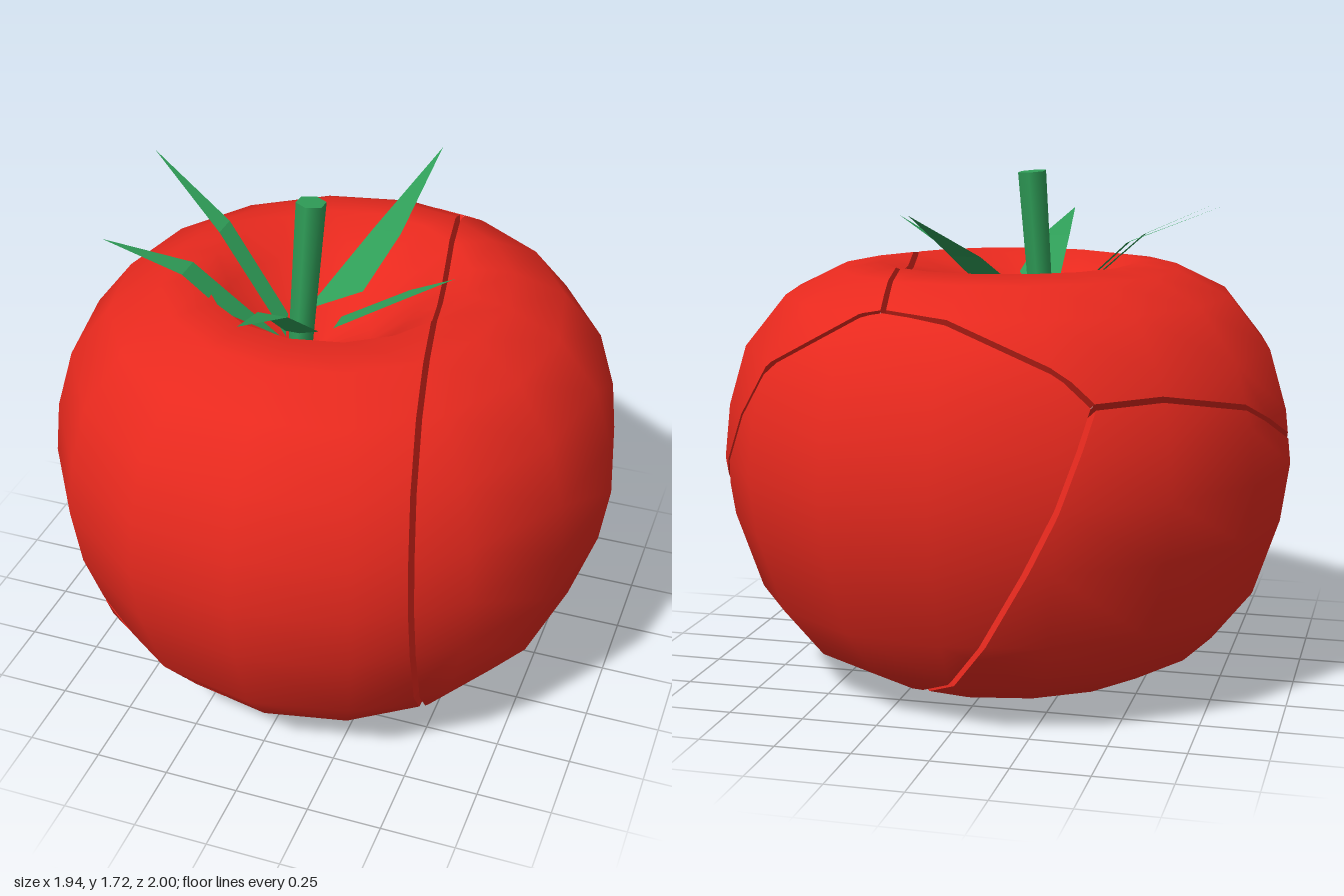
import * as THREE from 'three';

const red = new THREE.MeshStandardMaterial({ color: 0xe8291e });
red.name = 'tomato red';
const green = new THREE.MeshStandardMaterial({ color: 0x2f9e58, side: THREE.DoubleSide });
green.name = 'leaf green';

// Half outline of the fruit, bottom dimple to top dimple
const PROFILE = [
  [0, 0.1], [0.16, 0.09], [0.36, 0.015], [0.55, 0.04], [0.74, 0.14], [0.88, 0.31], [0.97, 0.57], [1, 0.77],
  [0.98, 0.95], [0.92, 1.15], [0.78, 1.32], [0.6, 1.405], [0.45, 1.425], [0.33, 1.35], [0.18, 1.23], [0, 1.17],
];

// The fruit is split in four: each wedge is where its own linear field (x, y, z, constant) is largest
const FIELDS = {
  rightWedge: [0.73, 0.021, -0.138, -0.288],
  frontWedge: [0, 0, 0, 0],
  backWedge: [0.444, -0.808, -1.138, 0.167],
  bottomWedge: [-0.552, -1.28, -0.692, 0.575],
};
const CORE = new THREE.Vector3(0.429, 0.153, 0.205); // inner point where all cuts meet
const GAP = 0.009;

function fruitGeometry() {
  const g = new THREE.LatheGeometry(PROFILE.map(([r, y]) => new THREE.Vector2(r, y)), 16);
  g.scale(0.968, 1, 1);
  const p = g.attributes.position;
  for (let i = 0; i < p.count; i++) {
    const x = p.getX(i), y = p.getY(i), z = p.getZ(i);
    p.setY(i, y - 0.025 * z * (1 - y / 1.42)); // the base sits slightly lower in front
    if (y > 1.1 && Math.hypot(x, z) < 0.4) { // the top dimple is off centre, around the stem
      p.setX(i, x - 0.04);
      p.setZ(i, z + 0.07);
    }
  }
  return g.toNonIndexed();
}

const distance = (plane, v) => plane[0] * v[0] + plane[1] * v[1] + plane[2] * v[2] + plane[3];

// Planes that bound one wedge, moved inward by the gap
function wedgePlanes(name) {
  const own = FIELDS[name];
  return Object.keys(FIELDS).filter((k) => k !== name).map((k) => {
    const d = own.map((c, i) => c - FIELDS[k][i]);
    const len = Math.hypot(d[0], d[1], d[2]);
    const plane = d.map((c) => c / len);
    plane[3] -= GAP;
    return plane;
  });
}

// Keep the part of a polygon on the positive side of a plane
function clip(poly, plane) {
  const out = [];
  poly.forEach((a, i) => {
    const b = poly[(i + 1) % poly.length];
    const da = distance(plane, a), db = distance(plane, b);
    if (da >= 0) out.push(a);
    if ((da >= 0) !== (db >= 0)) out.push(a.map((c, k) => c + (b[k] - c) * da / (da - db)));
  });
  return out;
}

function wedgeGeometry(fruit, planes) {
  const P = fruit.attributes.position, N = fruit.attributes.normal;
  const pos = [], nor = [];
  const addFlat = (a, b, c) => {
    const n = b.clone().sub(a).cross(c.clone().sub(a)).normalize();
    for (const v of [a, b, c]) { pos.push(v.x, v.y, v.z); nor.push(n.x, n.y, n.z); }
  };
  for (let t = 0; t < P.count; t += 3) {
    let poly = [t, t + 1, t + 2].map((i) =>
      [P.getX(i), P.getY(i), P.getZ(i), N.getX(i), N.getY(i), N.getZ(i)]);
    for (const plane of planes) poly = clip(poly, plane);
    // skin
    for (let i = 1; i + 1 < poly.length; i++) {
      for (const v of [poly[0], poly[i], poly[i + 1]]) {
        pos.push(...v.slice(0, 3));
        nor.push(...v.slice(3));
      }
    }
    // cut walls: neighbouring wedges close up a little below the skin, then run to the core
    poly.forEach((p, i) => {
      const q = poly[(i + 1) % poly.length];
      const plane = planes.find((s) => Math.abs(distance(s, p)) + Math.abs(distance(s, q)) < 1e-7);
      if (!plane) return;
      const out = new THREE.Vector3(...plane.slice(0, 3)).multiplyScalar(-GAP);
      const a = new THREE.Vector3(...p.slice(0, 3)), b = new THREE.Vector3(...q.slice(0, 3));
      const [deepA, deepB] = [a, b].map((v) => v.clone().add(out).lerp(CORE, 0.12));
      addFlat(b, a, deepA);
      addFlat(b, deepA, deepB);
      addFlat(deepB, deepA, CORE);
    });
  }
  const g = new THREE.BufferGeometry();
  g.setAttribute('position', new THREE.Float32BufferAttribute(pos, 3));
  g.setAttribute('normal', new THREE.Float32BufferAttribute(nor, 3));
  return g;
}

// Leaves as pairs of (x, z) edge points from base to knee, then the tip.
// Each rises along one axis: steeply up to the knee, then more gently to the tip.
const LEAVES = [
  { name: 'backLeaf', axis: 1, knee: [0.27, 1.46], tip: [0.16, -0.64], tipY: 1.62, slope: 0.72,
    pairs: [[[-0.11, 0], [0.06, -0.08]], [[0.03, -0.27], [0.13, -0.27]]] },
  { name: 'longSideLeaf', axis: 0, knee: [0.42, 1.5], tip: [-0.76, -0.25], tipY: 1.64, slope: 0.9,
    pairs: [[[-0.13, 0.15], [-0.16, 0.05]], [[-0.42, 0], [-0.42, -0.09]]] },
  { name: 'shortSideLeaf', axis: 0, knee: [0.42, 1.5], tip: [-0.67, 0.36], tipY: 1.61, slope: 0.9,
    pairs: [[[-0.14, 0.17], [-0.28, 0.29]], [[-0.42, 0.22], [-0.42, 0.31]]] },
  { name: 'frontLeaf', axis: 1, knee: [0.41, 1.475], tip: [-0.09, 0.65], tipY: 1.56, slope: 0.85,
    pairs: [[[-0.12, 0.18], [-0.07, 0.18]], [[-0.12, 0.27], [0.03, 0.27]], [[-0.12, 0.41], [-0.02, 0.41]]] },
  { name: 'oppositeLeaf', axis: 0, knee: [0.28, 1.465], tip: [0.44, 0.15], tipY: 1.56, slope: 0.65,
    pairs: [[[0.04, 0.08], [0.04, 0.16]], [[0.28, 0.1], [0.28, 0.165]]] },
];

function leafGeometry({ axis, knee, tip, tipY, slope, pairs }) {
  const pos = [];
  const lift = (p) => [p[0], knee[1] - (knee[0] - Math.abs(p[axis])) * slope, p[1]];
  const rows = pairs.map((pair) => pair.map(lift));
  for (let i = 0; i + 1 < rows.length; i++) {
    const [a, b] = rows[i], [c, d] = rows[i + 1];
    pos.push(...a, ...c, ...b, ...b, ...c, ...d);
  }
  const [l, r] = rows[rows.length - 1];
  pos.push(...l, tip[0], tipY, tip[1], ...r);
  const g = new THREE.BufferGeometry();
  g.setAttribute('position', new THREE.Float32BufferAttribute(pos, 3));
  g.computeVertexNormals();
  return g;
}

export function createModel() {
  const model = new THREE.Group();
  model.name = 'tomato';
  const add = (name, geometry, material) => {
    const mesh = new THREE.Mesh(geometry, material);
    mesh.name = name;
    model.add(mesh);
    return mesh;
  };

  // Fruit wedges
  const fruit = fruitGeometry();
  for (const name of Object.keys(FIELDS)) add(name, wedgeGeometry(fruit, wedgePlanes(name)), red);

  // Leaning stem
  const bottom = new THREE.Vector3(-0.09, 1.15, 0.13), top = new THREE.Vector3(-0.055, 1.72, 0.1);
  const axis = top.clone().sub(bottom);
  const stem = add('stem', new THREE.CylinderGeometry(0.05, 0.04, axis.length(), 6), green);
  stem.position.copy(bottom).add(top).multiplyScalar(0.5);
  stem.quaternion.setFromUnitVectors(new THREE.Vector3(0, 1, 0), axis.normalize());

  // Leaves around the stem
  for (const leaf of LEAVES) add(leaf.name, leafGeometry(leaf), green);
  return model;
}
